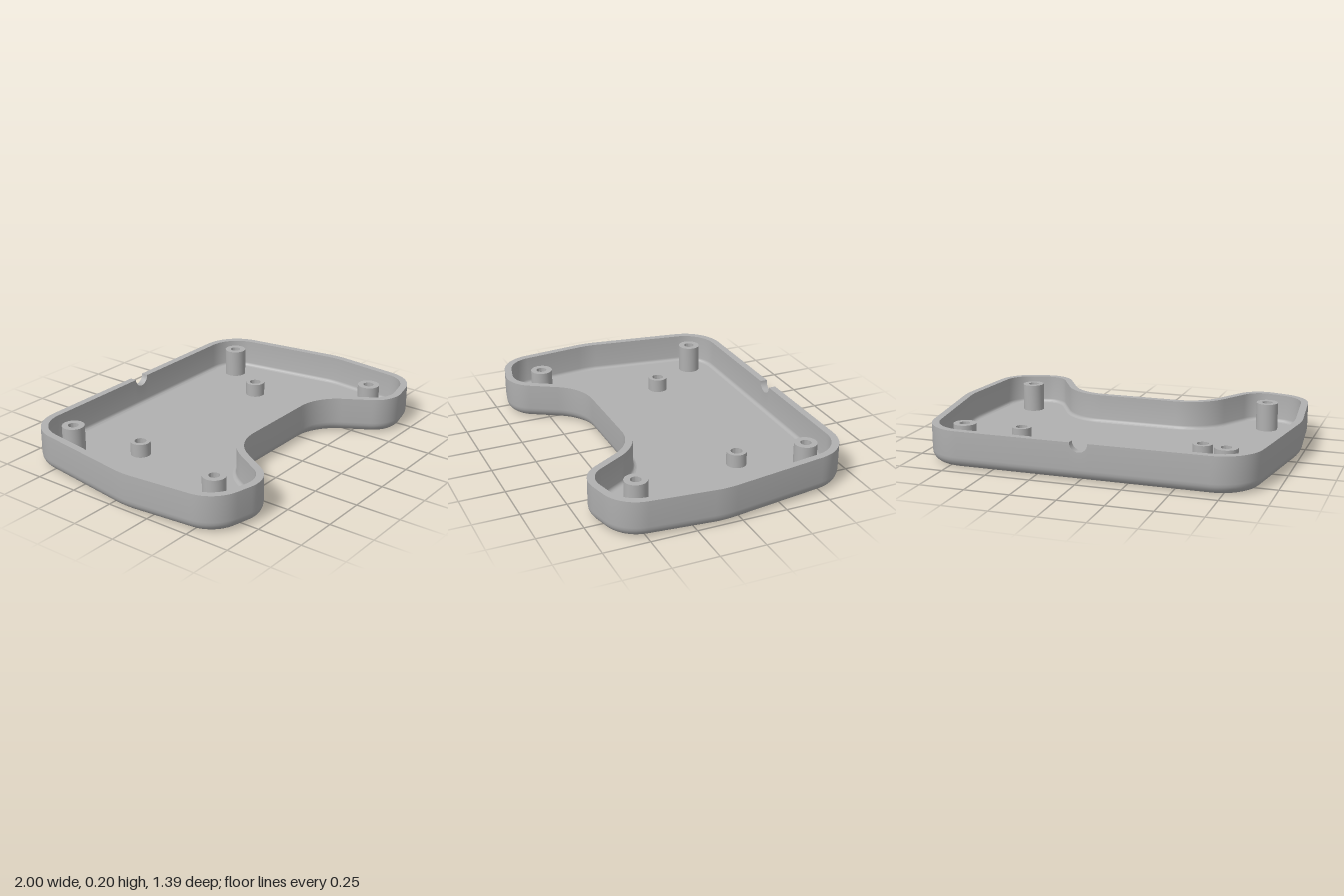
import * as THREE from 'three';
import { toCreasedNormals } from 'three/addons/utils/BufferGeometryUtils.js';

const HEIGHT = 0.205, FLOOR = 0.042, WALL = 0.04, FILLET = 0.06;

// Half outline corners: x, z, corner radius
const half = [
  [0.887, -0.693, 0.23],
  [1.004, 0.09, 0.5],
  [0.95, 0.637, 0.2],
  [0.6, 0.718, 0.174],
  [0.374, 0.335, 0.26],
];

// Rounded outline as points with outward normals and rim height
function makeOutline() {
  const corners = [...half, ...half.map(([x, z, r]) => [-x, z, r]).reverse()];
  const n = corners.length, steps = 12, out = [];
  corners.forEach(([x, z, r], i) => {
    const b = new THREE.Vector2(x, z);
    const [ax, az] = corners[(i + n - 1) % n], [cx, cz] = corners[(i + 1) % n];
    const t1 = new THREE.Vector2(x - ax, z - az).normalize();
    const t2 = new THREE.Vector2(cx - x, cz - z).normalize();
    const turn = Math.acos(t1.dot(t2)), s = Math.sign(t1.cross(t2));
    const start = b.addScaledVector(t1, -r * Math.tan(turn / 2));
    const ox = start.x - t1.y * r * s, oz = start.y + t1.x * r * s;
    const a0 = Math.atan2(-t1.x, t1.y);
    for (let k = 0; k <= steps; k++) {
      const a = a0 + (s * turn * k) / steps, nx = Math.cos(a), nz = Math.sin(a);
      out.push({ x: ox + nx * r * s, z: oz + nz * r * s, nx, nz, top: HEIGHT });
    }
  });
  // Half-round cable notch in the middle of the back rim
  for (let k = 0; k <= 16; k++) {
    const a = (Math.PI * k) / 16;
    out.push({ x: -0.05 * Math.cos(a), z: half[0][1], nx: 0, nz: -1, top: HEIGHT - 0.05 * Math.sin(a) });
  }
  return out;
}

// Wall: an inset/height profile swept round the outline
function wallGeometry(outline) {
  const rows = [];
  for (let k = 0; k <= 6; k++) {
    const a = (Math.PI / 2) * (k / 6);
    rows.push([FILLET * (1 - Math.sin(a)), FILLET * (1 - Math.cos(a))]);
  }
  rows.push([0, null], [WALL, null]);
  const r = FILLET - WALL;
  for (let k = 0; k <= 4; k++) {
    const a = (Math.PI / 2) * (k / 4);
    rows.push([WALL + r * (1 - Math.cos(a)), FLOOR + r * (1 - Math.sin(a))]);
  }
  const pos = [], index = [], n = outline.length;
  rows.forEach(([d, y], i) => outline.forEach((p, j) => {
    pos.push(p.x - p.nx * d, y ?? p.top, p.z - p.nz * d);
    if (i === rows.length - 1) return;
    const a = i * n + j, b = i * n + ((j + 1) % n);
    index.push(a, a + n, b, b, a + n, b + n);
  }));
  const g = new THREE.BufferGeometry();
  g.setAttribute('position', new THREE.Float32BufferAttribute(pos, 3));
  g.setIndex(index);
  return toCreasedNormals(g, 0.45);
}

// Flat floor face with screw holes; side is 1 facing up, -1 facing down
function floorGeometry(outline, y, side, holes, radius) {
  const shape = new THREE.Shape(outline.map(p =>
    new THREE.Vector2(p.x - p.nx * FILLET, -side * (p.z - p.nz * FILLET))));
  for (const [x, z] of holes) {
    shape.holes.push(new THREE.Path().absarc(x, -side * z, radius, 0, Math.PI * 2, true));
  }
  return new THREE.ShapeGeometry(shape, 16).rotateX((-side * Math.PI) / 2).translate(0, y, 0);
}

function lathe(profile) {
  return toCreasedNormals(new THREE.LatheGeometry(profile.map(p => new THREE.Vector2(...p)), 32), 0.45);
}

export function createModel() {
  const group = new THREE.Group();
  const grey = new THREE.MeshStandardMaterial({ color: 0xb0b0b0 });
  grey.name = 'grey plastic';
  const add = (name, geometry, x = 0, z = 0) => {
    const mesh = new THREE.Mesh(geometry, grey);
    mesh.name = name;
    mesh.position.set(x, 0, z);
    group.add(mesh);
  };
  const outline = makeOutline();
  const screws = [[-0.727, -0.505], [0.727, -0.505], [-0.733, 0.465], [0.733, 0.465]];

  // Shell
  add('wall', wallGeometry(outline));
  add('floorTop', floorGeometry(outline, FLOOR, 1, screws, 0.06));
  add('floorUnderside', floorGeometry(outline, 0, -1, screws, 0.05));

  // Tall screw posts, bored through with a wider recess from below
  const tall = lathe([[0.062, FLOOR], [0.062, 0.2], [0.029, 0.2], [0.029, 0.1], [0.05, 0.1], [0.05, 0]]);
  for (const [x, z] of screws) add('screwPost', tall, x, z);

  // Short blind standoffs
  const short = lathe([[0.055, FLOOR], [0.055, 0.118], [0.032, 0.118], [0.032, FLOOR + 0.002], [0, FLOOR + 0.002]]);
  for (const x of [-0.526, 0.526]) add('standoff', short, x, -0.203);

  return group;
}
